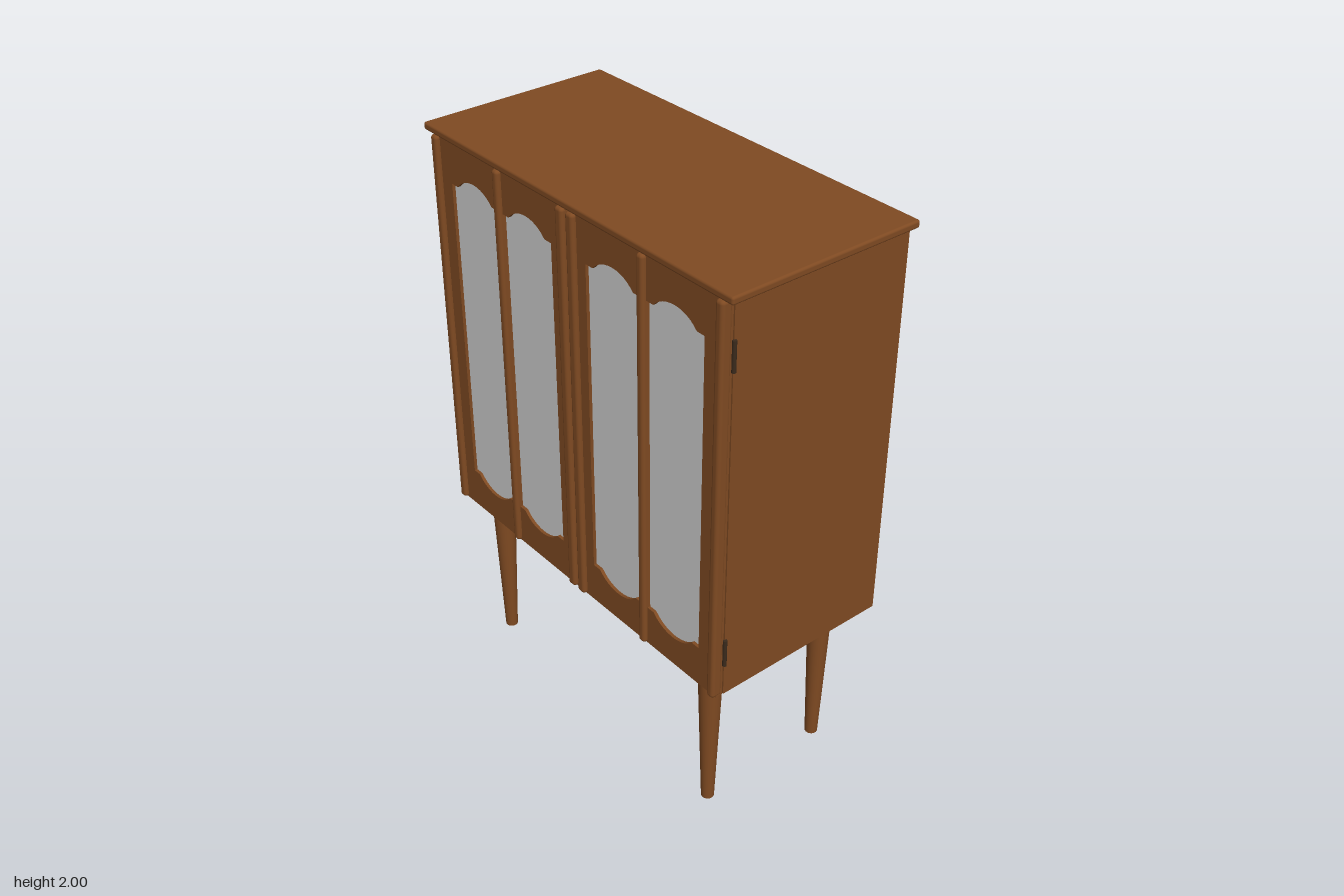
import * as THREE from 'three';
import { RoundedBoxGeometry } from 'three/addons/geometries/RoundedBoxGeometry.js';

export function createModel() {
  const model = new THREE.Group();
  model.name = 'cabinet';

  const wood = new THREE.MeshStandardMaterial({ color: 0x7f4a22 });
  wood.name = 'walnut wood';
  const glass = new THREE.MeshStandardMaterial({ color: 0xcfcfcf });
  glass.name = 'pale glass';
  const metal = new THREE.MeshStandardMaterial({ color: 0x3a2a1c });
  metal.name = 'dark hinge metal';

  const BOTTOM = 0.58, TOP = 1.975, MID = (BOTTOM + TOP) / 2, HEIGHT = TOP - BOTTOM;

  function add(parent, name, geometry, material, x = 0, y = 0, z = 0) {
    const mesh = new THREE.Mesh(geometry, material);
    mesh.name = name;
    mesh.position.set(x, y, z);
    parent.add(mesh);
    return mesh;
  }

  // Tall window outline with a shallow arch and shoulders at both ends
  function windowOutline(x0, x1) {
    const path = new THREE.Path();
    const c = (x0 + x1) / 2, w = 0.092, low = 0.725, high = 1.828, rise = 0.053;
    path.moveTo(x0, low);
    path.lineTo(c - w, low);
    path.bezierCurveTo(c - w * 0.5, low - rise, c + w * 0.5, low - rise, c + w, low);
    path.lineTo(x1, low);
    path.lineTo(x1, high);
    path.lineTo(c + w, high);
    path.bezierCurveTo(c + w * 0.5, high + rise, c - w * 0.5, high + rise, c - w, high);
    path.lineTo(x0, high);
    path.closePath();
    return path;
  }

  // Case and top
  add(model, 'case', new THREE.BoxGeometry(1.38, HEIGHT, 0.655), wood, 0, MID, -0.0225);
  add(model, 'topBoard', new RoundedBoxGeometry(1.452, 0.026, 0.697, 3, 0.008), wood, 0, 1.987, -0.0015);

  // Doors, one on each side
  for (const side of [-1, 1]) {
    const door = new THREE.Group();
    door.name = side > 0 ? 'leftDoor' : 'rightDoor';
    model.add(door);

    const xs = (a, b) => (side > 0 ? [a, b] : [-b, -a]);
    const [d0, d1] = xs(0.007, 0.688);
    const frame = new THREE.Shape();
    frame.moveTo(d0, BOTTOM);
    frame.lineTo(d1, BOTTOM);
    frame.lineTo(d1, TOP - 0.003);
    frame.lineTo(d0, TOP - 0.003);
    frame.closePath();
    for (const [a, b] of [[0.083, 0.333], [0.357, 0.605]]) {
      frame.holes.push(windowOutline(...xs(a, b)));
    }
    add(door, 'doorFrame', new THREE.ExtrudeGeometry(frame,
      { depth: 0.026, bevelEnabled: false, curveSegments: 12 }), wood, 0, 0, 0.308);

    // Glass panes set back in the frame
    for (const x of [0.208, 0.481]) {
      add(door, 'glassPane', new THREE.BoxGeometry(0.265, 1.22, 0.006), glass, side * x, 1.277, 0.32);
    }

    // Rounded upright mouldings
    for (const [a, b] of [[0.007, 0.043], [0.329, 0.359], [0.658, 0.69]]) {
      add(door, 'moulding', new RoundedBoxGeometry(b - a, HEIGHT - 0.004, 0.04, 4, 0.012),
        wood, side * (a + b) / 2, MID - 0.001, 0.33);
    }

    // Hinges
    for (const y of [0.75, 1.795]) {
      add(door, 'hinge', new THREE.CylinderGeometry(0.007, 0.007, 0.1, 12), metal, side * 0.693, y, 0.306);
    }
  }

  // Tapered legs
  const legGeometry = new THREE.CylinderGeometry(0.042, 0.022, 0.585, 28);
  for (const x of [-0.566, 0.566]) {
    for (const z of [-0.232, 0.247]) {
      add(model, z > 0 ? 'frontLeg' : 'backLeg', legGeometry, wood, x, 0.2925, z);
    }
  }

  return model;
}
